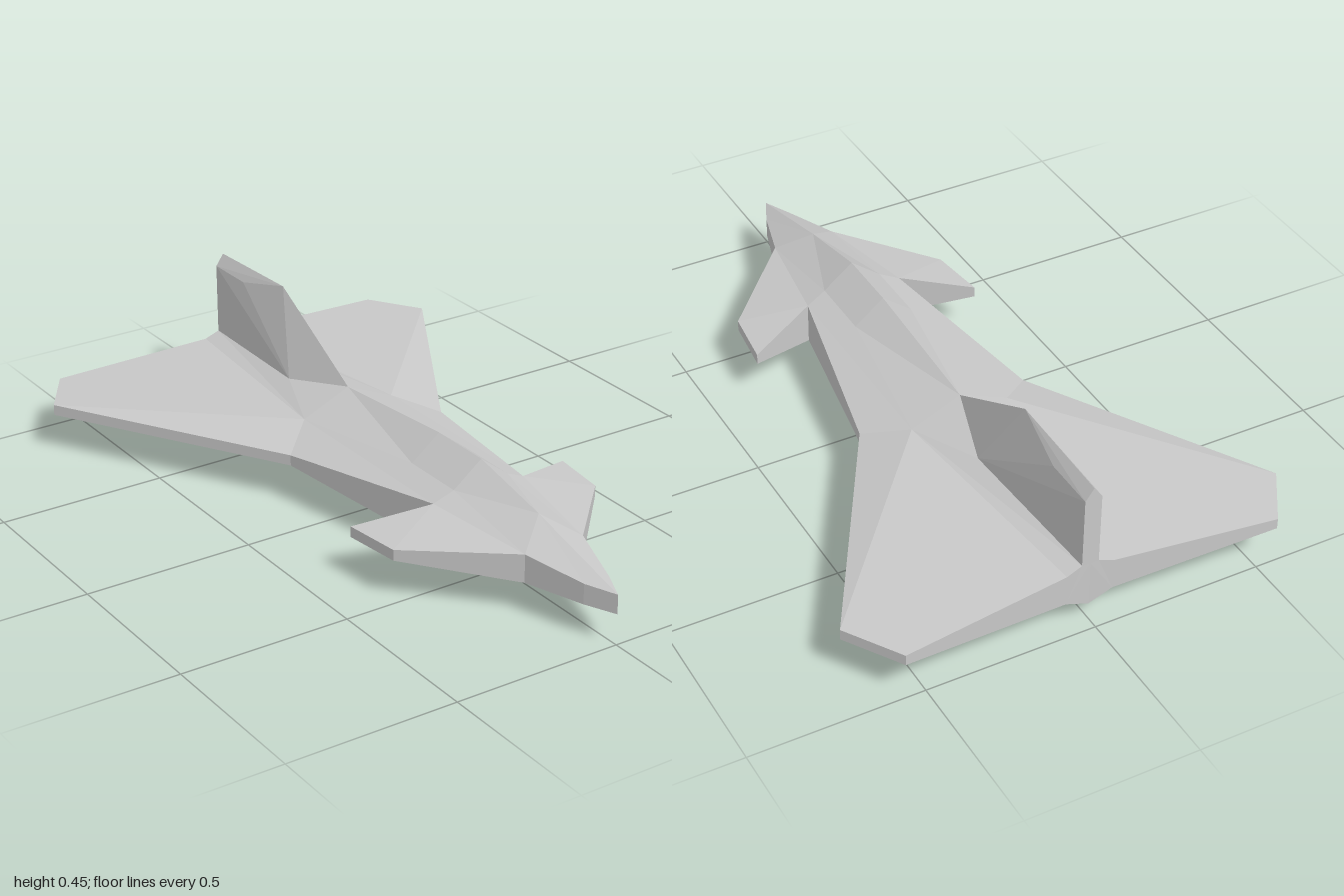
import * as THREE from 'three';

const gray = new THREE.MeshStandardMaterial({ color: 0xc8c8c8, flatShading: true });
gray.name = 'hullGray';

// Named corner points of the left (+x) half.
const P = {
  // spine and canopy
  s1: [0, 0.235, 0.66], s2: [0, 0.29, 0.4], s3: [0, 0.29, 0.2], s4: [0, 0.255, -0.26],
  k1: [0.09, 0.22, 0.4], k2: [0.09, 0.22, 0.2],
  // keel
  p1: [0, 0.048, 0.73], p2: [0, 0, 0.39], p3: [0, 0, -0.24], p4: [0, 0.05, -0.96],
  // wing root, above and below
  wt: [0.15, 0.19, -0.26], wb: [0.15, 0.067, -0.26],
  // fin
  fb: [0.065, 0.215, -0.48], fc: [0.025, 0.19, -0.96], fm: [0, 0.19, -0.96],
  f1: [0, 0.45, -0.61], f2: [0, 0.44, -0.96],
  g1: [0.025, 0.405, -0.8], g2: [0.025, 0.405, -0.96],
};

// Plan outline from nose to tail: x, z, lower and upper edge height.
const outline = [
  [0, 1, 0.09, 0.147], [0.04, 0.91, 0.09, 0.15], [0.095, 0.73, 0.088, 0.172],
  [0.337, 0.475, 0.113, 0.145], [0.357, 0.3, 0.113, 0.145], [0.15, 0.39, 0.067, 0.192],
  [0.26, -0.16, 0.113, 0.145], [0.66, -0.84, 0.113, 0.145], [0.557, -1, 0.113, 0.145],
  [0.07, -0.962, 0.078, 0.172],
];
outline.forEach(([x, z, lo, hi], i) => {
  P['b' + i] = [x, lo, z];
  P['t' + i] = [x, hi, z];
});

// Builds both mirrored halves from faces written as lists of point names.
function part(name, faces) {
  const pos = [];
  for (const face of faces) {
    const pts = face.split(' ').map((n) => P[n]);
    for (let i = 1; i < pts.length - 1; i++) {
      const [a, b, c] = [pts[0], pts[i], pts[i + 1]];
      pos.push(...a, ...b, ...c);
      for (const q of [a, c, b]) pos.push(-q[0], q[1], q[2]);
    }
  }
  const geo = new THREE.BufferGeometry();
  geo.setAttribute('position', new THREE.Float32BufferAttribute(pos, 3));
  geo.computeVertexNormals();
  const mesh = new THREE.Mesh(geo, gray);
  mesh.name = name;
  return mesh;
}

export function createModel() {
  const model = new THREE.Group();
  model.name = 'deltaWingCraft';

  // Outer edge walls and the tail face
  const edge = ['b9 p4 fm fc t9'];
  for (let i = 0; i < outline.length - 1; i++) {
    edge.push(`b${i} b${i + 1} t${i + 1} t${i}`);
  }

  model.add(
    part('upperHull', ['t0 t1 s1', 't1 t2 s1', 't2 k1 s1', 't2 t5 k1',
      't5 k2 k1', 't5 wt k2', 'k2 wt s4', 'wt fb s4', 'wt t9 fc fb']),
    part('canopy', ['s1 k1 s2', 'k1 k2 s3 s2', 'k2 s4 s3']),
    part('canards', ['t2 t3 t5', 't3 t4 t5', 'b2 b5 b3', 'b3 b5 b4']),
    part('wings', ['t5 t6 wt', 't6 t7 wt', 't7 t8 wt', 't8 t9 wt',
      'b5 wb b6', 'b6 wb b7', 'b7 wb b8', 'b8 wb b9']),
    part('keel', ['b0 p1 b1', 'b1 p1 b2', 'b2 p1 p2', 'b2 p2 b5',
      'b5 p2 p3', 'b5 p3 wb', 'wb p3 p4', 'wb p4 b9']),
    part('edgeWalls', edge),
    part('tailFin', ['s4 fb f1', 'fb g1 f1', 'fb fc g2 g1', 'f1 g1 g2 f2', 'fc fm f2 g2']),
  );
  return model;
}
